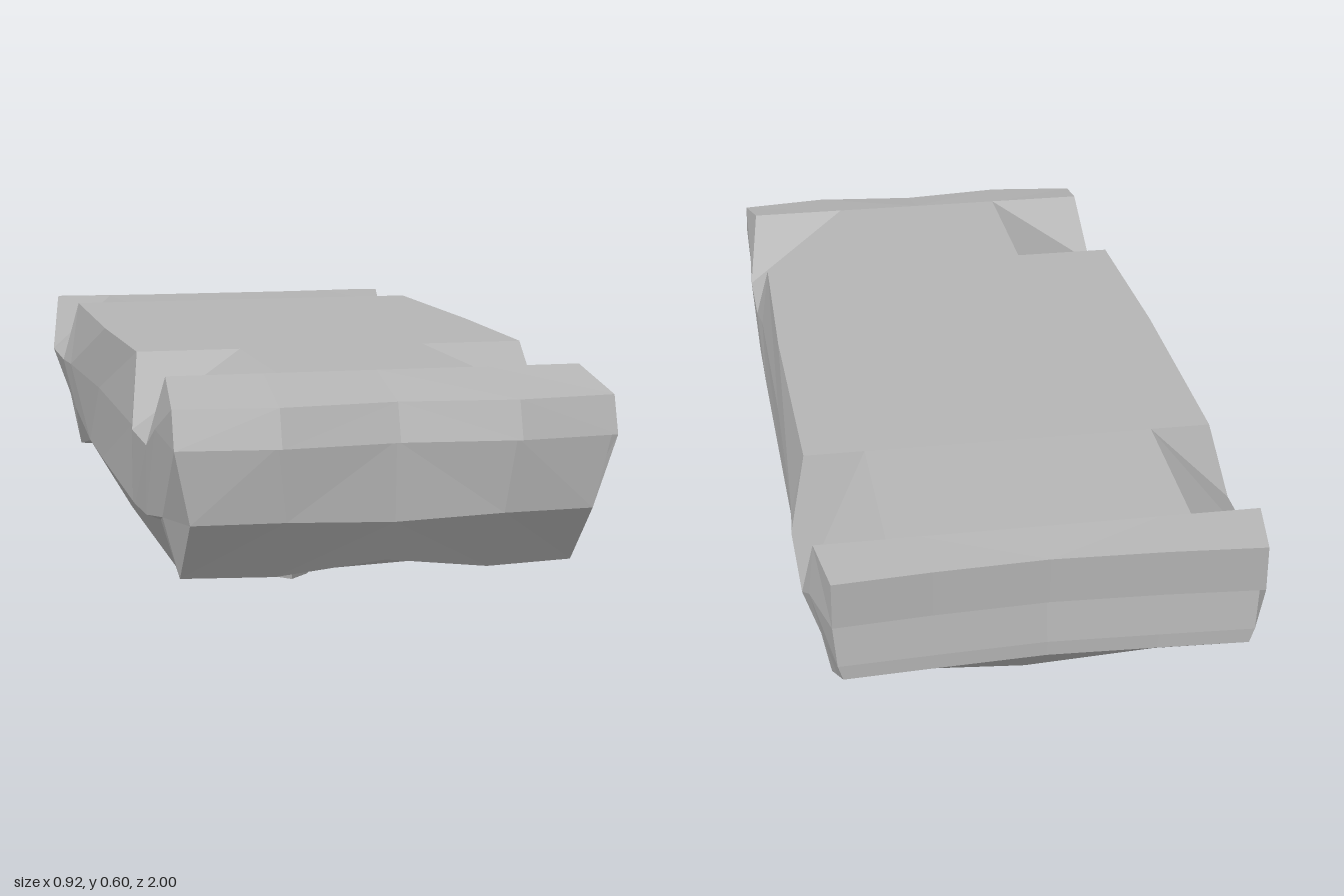
import * as THREE from 'three';

const paint = new THREE.MeshStandardMaterial({ color: 0xb4b4b4, flatShading: true, side: THREE.DoubleSide });
paint.name = 'grey paint';

// Collects quads and triangles given on the +x half and mirrors them to -x
function halfMesh(name, faces) {
  const pos = [];
  const tri = (a, b, c) => {
    pos.push(...a, ...b, ...c);
    for (const p of [a, c, b]) pos.push(-p[0], p[1], p[2]);
  };
  for (const [a, b, c, d] of faces) {
    tri(a, b, c);
    if (d) tri(a, c, d);
  }
  const geo = new THREE.BufferGeometry();
  geo.setAttribute('position', new THREE.Float32BufferAttribute(pos, 3));
  geo.computeVertexNormals();
  const mesh = new THREE.Mesh(geo, paint);
  mesh.name = name;
  return mesh;
}

// Skins neighbouring cross-sections
function skin(rows) {
  const faces = [];
  for (let i = 0; i + 1 < rows.length; i++) {
    const a = rows[i], b = rows[i + 1];
    for (let j = 0; j + 1 < a.length; j++) faces.push([a[j], b[j], b[j + 1], a[j + 1]]);
  }
  return faces;
}

// A cross row: centre, quarter and edge points as (y, z), with the edge at x
const row = (x, c, q, e) => [[0, ...c], [x * 0.54, ...q], [x, ...e]];
const flat = (x, y, z) => row(x, [y, z], [y, z], [y, z]);

export function createModel() {
  const car = new THREE.Group();
  car.name = 'overturnedCar';

  // Rows shared by neighbouring panels
  const tailTop = row(0.42, [0.575, -0.975], [0.575, -0.985], [0.575, -1]);
  const noseTop = row(0.435, [0.565, 0.95], [0.565, 0.975], [0.565, 0.95]);
  const hoodFront = row(0.4, [0.24, 0.87], [0.21, 0.845], [0.21, 0.82]);
  const screenBase = row(0.4, [0.28, 0.61], [0.28, 0.6], [0.28, 0.59]);
  const roofFront = row(0.335, [0.1, 0.35], [0.116, 0.385], [0.13, 0.42]);
  const roofRear = row(0.335, [0.1, -0.26], [0.116, -0.265], [0.13, -0.27]);
  const rearBase = row(0.4, [0.27, -0.45], [0.27, -0.45], [0.27, -0.45]);
  const bootEdge = row(0.4, [0.18, -0.74], [0.195, -0.74], [0.21, -0.74]);
  const tailLow = row(0.4, [0.35, -0.96], [0.35, -0.97], [0.35, -0.98]);

  // Flat underside, narrowed between the wheel notches
  car.add(halfMesh('underside', skin([
    tailTop, flat(0.44, 0.587, -0.87), flat(0.3, 0.587, -0.87), flat(0.3, 0.604, -0.54),
    flat(0.425, 0.604, -0.54), flat(0.43, 0.604, 0), flat(0.42, 0.604, 0.42),
    flat(0.2, 0.604, 0.42), flat(0.2, 0.604, 0.79), flat(0.42, 0.604, 0.79), noseTop,
  ])));

  // Front bumper, nose, bonnet
  car.add(halfMesh('nose', skin([
    noseTop,
    row(0.435, [0.49, 0.975], [0.49, 0.998], [0.49, 0.975]),
    row(0.435, [0.49, 0.945], [0.49, 0.965], [0.49, 0.945]),
    row(0.4, [0.33, 0.94], [0.34, 0.95], [0.34, 0.94]),
    hoodFront,
  ])));
  car.add(halfMesh('bonnet', skin([hoodFront, screenBase])));

  // Cabin
  car.add(halfMesh('windscreen', skin([screenBase, roofFront])));
  car.add(halfMesh('roof', skin([roofFront, roofRear])));
  car.add(halfMesh('rearWindow', skin([roofRear, rearBase])));
  const beltFront = [0.435, 0.29, 0.44], beltRear = [0.435, 0.3, -0.27];
  car.add(halfMesh('cabinSide', [
    [beltFront, roofFront[2], roofRear[2], beltRear],
    [screenBase[2], roofFront[2], beltFront],
    [beltRear, roofRear[2], rearBase[2]],
  ]));

  // Boot and tail with rear bumper
  car.add(halfMesh('boot', skin([rearBase, bootEdge])));
  car.add(halfMesh('tail', skin([
    bootEdge, tailLow,
    row(0.41, [0.38, -0.96], [0.38, -0.97], [0.38, -0.98]),
    row(0.42, [0.48, -0.945], [0.48, -0.955], [0.48, -0.965]),
    row(0.42, [0.48, -0.975], [0.48, -0.985], [0.48, -1]),
    tailTop,
  ])));

  // Body sides: top edge, middle, crease and lower edge, front to back
  const sides = [
    [noseTop[2], [0.435, 0.49, 0.975], [0.4, 0.34, 0.94], hoodFront[2]],
    [[0.42, 0.604, 0.79], [0.44, 0.5, 0.78], [0.43, 0.33, 0.8], hoodFront[2]],
    [[0.445, 0.455, 0.7], [0.445, 0.455, 0.7], [0.435, 0.3, 0.63], screenBase[2]],
    [[0.445, 0.455, 0.51], [0.445, 0.455, 0.51], [0.435, 0.29, 0.47], screenBase[2]],
    [[0.42, 0.604, 0.42], [0.437, 0.455, 0.45], beltFront, beltFront],
    [[0.43, 0.604, 0], [0.44, 0.46, -0.05], [0.435, 0.295, -0.05], [0.435, 0.295, -0.05]],
    [[0.425, 0.604, -0.54], [0.452, 0.455, -0.5], beltRear, beltRear],
    [[0.46, 0.455, -0.59], [0.46, 0.455, -0.59], [0.435, 0.335, -0.55], rearBase[2]],
    [[0.46, 0.455, -0.82], [0.46, 0.455, -0.82], [0.43, 0.35, -0.71], bootEdge[2]],
    [[0.44, 0.587, -0.87], [0.45, 0.48, -0.87], [0.425, 0.37, -0.86], [0.4, 0.28, -0.86]],
    [tailTop[2], [0.42, 0.48, -1], [0.41, 0.38, -0.98], tailLow[2]],
  ];
  const sideFaces = skin(sides).map(([a, b, c, d]) => [a, d, c, b]);
  car.add(halfMesh('bodySide', sideFaces));

  // Wheel notches: a sloping ramp closed by a triangle at each end
  const notch = (name, x, ends, lows, outers) => {
    const [f, r] = ends.map(([y, z]) => [x, y, z]);
    car.add(halfMesh(name, [
      [f, lows[0], lows[1], r],
      [f, outers[0], lows[0]],
      [r, lows[1], outers[1]],
    ]));
  };
  notch('frontWheelNotch', 0.2, [[0.604, 0.79], [0.604, 0.42]],
    [sides[2][0], sides[3][0]], [sides[1][0], sides[4][0]]);
  notch('rearWheelNotch', 0.3, [[0.604, -0.54], [0.587, -0.87]],
    [sides[7][0], sides[8][0]], [sides[6][0], sides[9][0]]);

  // Tapered four-sided roof beacon
  const beacon = new THREE.Mesh(new THREE.CylinderGeometry(0.086, 0.05, 0.12, 4), paint);
  beacon.name = 'roofBeacon';
  beacon.position.set(0, 0.06, -0.02);
  car.add(beacon);

  return car;
}
